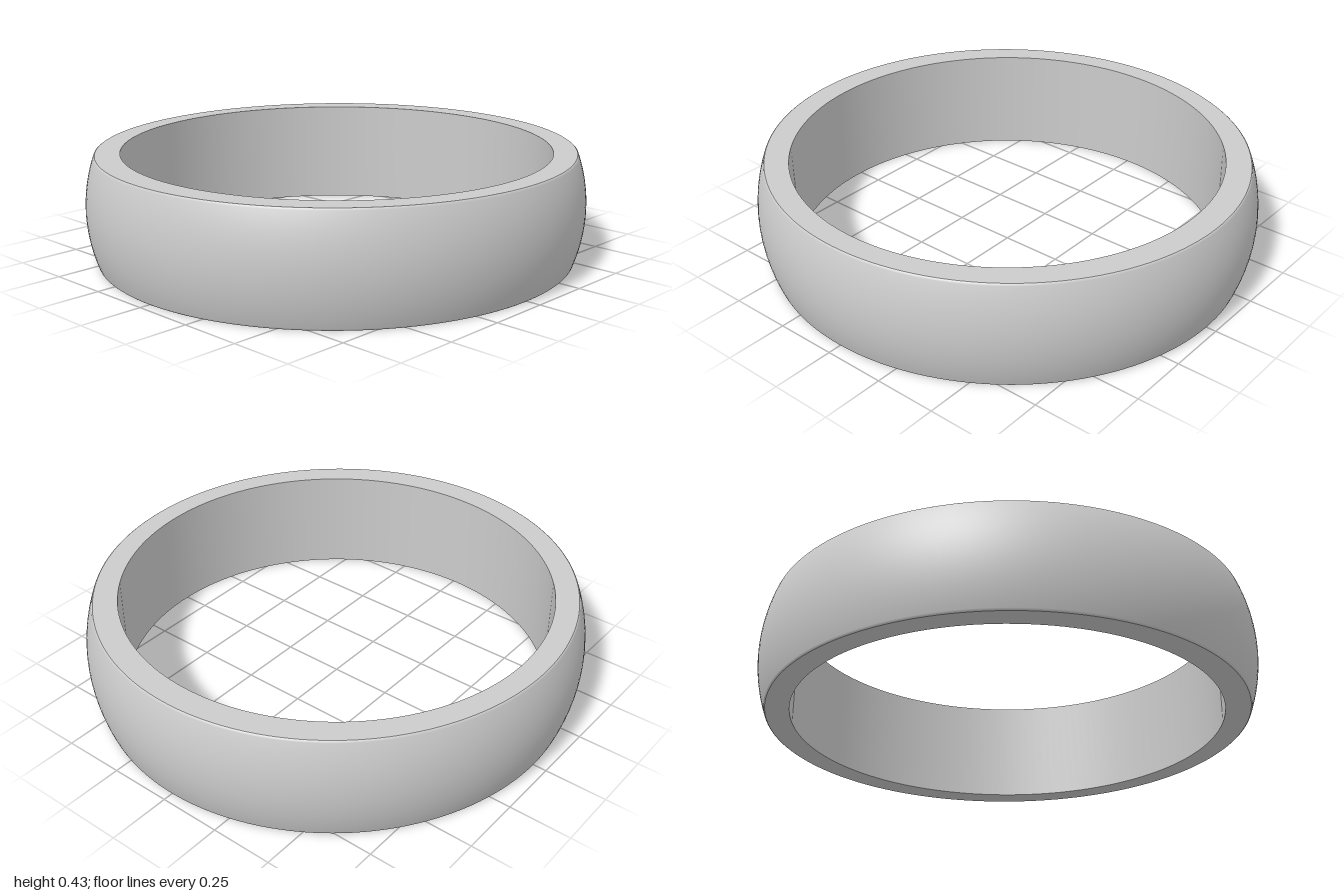
import * as THREE from 'three';

const HEIGHT = 0.426, INNER = 0.855, RIM = 0.943, OUTER = 0.985;
const SIDES = 160;
const STRETCH = 1 / OUTER; // the outside is a little longer in z than in x

// Revolve a profile of [radius, y]; the inner bore stays round
function ringSurface(name, profile, material) {
  const geometry = new THREE.LatheGeometry(profile.map(([r, y]) => new THREE.Vector2(r, y)), SIDES);
  const p = geometry.attributes.position;
  for (let i = 0; i < p.count; i++) {
    if (Math.hypot(p.getX(i), p.getZ(i)) > 0.9) p.setZ(i, p.getZ(i) * STRETCH);
  }
  const mesh = new THREE.Mesh(geometry, material);
  mesh.name = name;
  return mesh;
}

export function createModel() {
  const group = new THREE.Group();
  group.name = 'ring';
  const material = new THREE.MeshStandardMaterial({ color: 0xcccccc });

  // Domed outside with slightly softened edges
  const edge = 0.008, edgeRadius = RIM + 0.006;
  const dome = [[RIM, 0], [RIM + 0.004, 0.003]];
  const half = HEIGHT / 2 - edge, bulge = OUTER - edgeRadius;
  const arc = (half * half + bulge * bulge) / (2 * bulge);
  for (let i = 0; i <= 24; i++) {
    const y = half * (i / 12 - 1);
    dome.push([OUTER - arc + Math.sqrt(arc * arc - y * y), HEIGHT / 2 + y]);
  }
  dome.push([RIM + 0.004, HEIGHT - 0.003], [RIM, HEIGHT]);

  // Separate surfaces keep the edges between them crisp
  group.add(
    ringSurface('outerBand', dome, material),
    ringSurface('topRim', [[RIM, HEIGHT], [INNER, HEIGHT]], material),
    ringSurface('innerBore', [[INNER, HEIGHT], [INNER, 0]], material),
    ringSurface('bottomRim', [[INNER, 0], [RIM, 0]], material)
  );
  return group;
}
